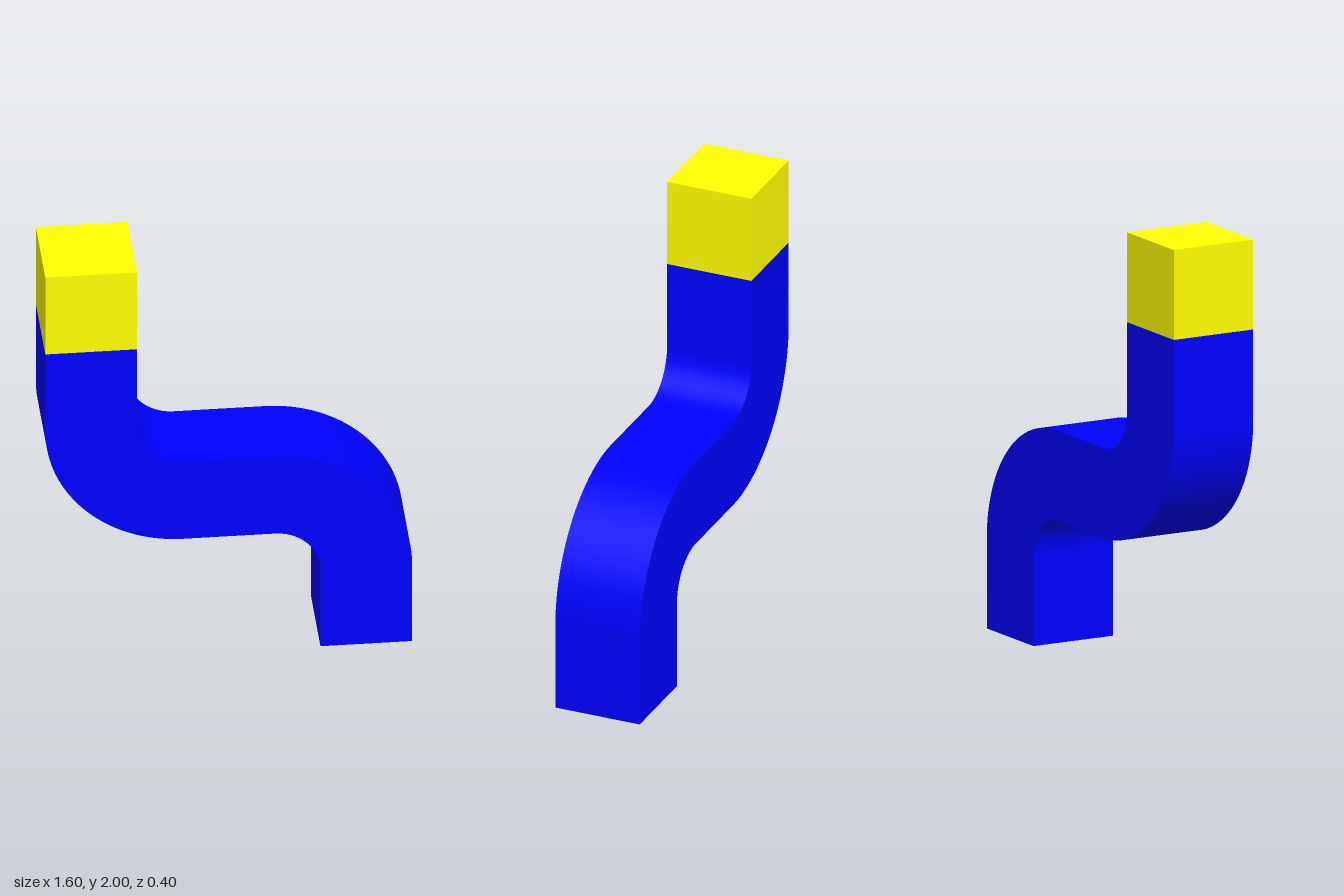
import * as THREE from 'three';
import { toCreasedNormals } from 'three/addons/utils/BufferGeometryUtils.js';

const W = 0.4;            // side of the square section
const R_IN = 0.2;         // inner bend radius
const R_OUT = R_IN + W;   // outer bend radius

export function createModel() {
  const group = new THREE.Group();
  group.name = 'bentBar';

  // S-shaped bar: side outline with two quarter bends, extruded in depth
  const s = new THREE.Shape();
  s.moveTo(0.4, 0);
  s.lineTo(0.8, 0);
  s.lineTo(0.8, 0.4);
  s.absarc(0.2, 0.4, R_OUT, 0, Math.PI / 2, false);
  s.lineTo(-0.2, 1);
  s.absarc(-0.2, 1.2, R_IN, -Math.PI / 2, -Math.PI, true);
  s.lineTo(-0.4, 1.6);
  s.lineTo(-0.8, 1.6);
  s.lineTo(-0.8, 1.2);
  s.absarc(-0.2, 1.2, R_OUT, Math.PI, Math.PI * 1.5, false);
  s.lineTo(0.2, 0.6);
  s.absarc(0.2, 0.4, R_IN, Math.PI / 2, 0, true);
  s.closePath();

  const barGeometry = new THREE.ExtrudeGeometry(s, { depth: W, bevelEnabled: false, curveSegments: 32 });
  barGeometry.translate(0, 0, -W / 2);
  const bar = new THREE.Mesh(
    toCreasedNormals(barGeometry, Math.PI / 6),
    new THREE.MeshStandardMaterial({ color: 0x0000ff })
  );
  bar.name = 'bar';
  group.add(bar);

  // Cube tip on the upper end
  const tip = new THREE.Mesh(
    new THREE.BoxGeometry(W, W, W),
    new THREE.MeshStandardMaterial({ color: 0xffff00 })
  );
  tip.name = 'tip';
  tip.position.set(-0.6, 1.8, 0);
  group.add(tip);

  return group;
}
